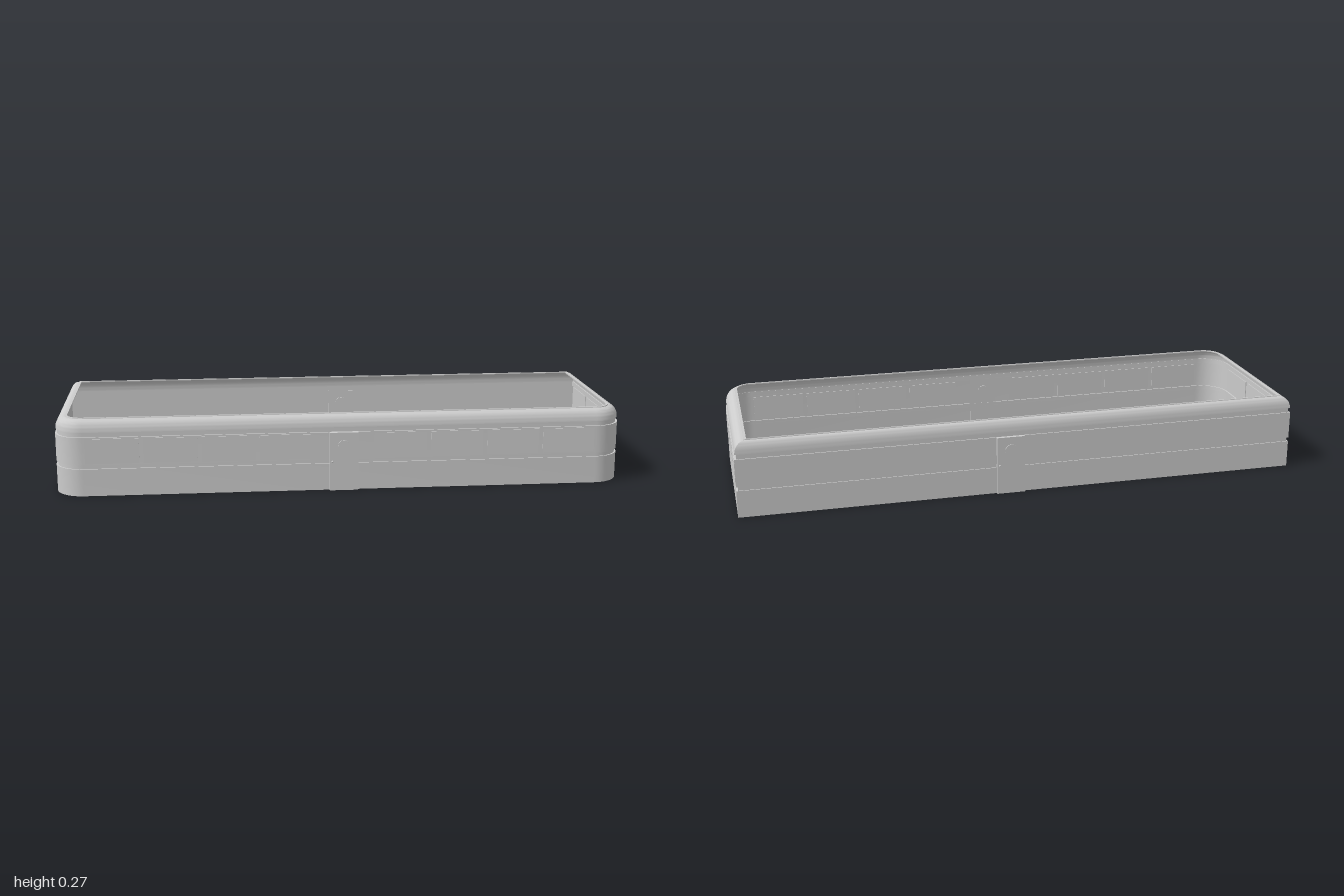
import * as THREE from 'three';
import { toCreasedNormals } from 'three/addons/utils/BufferGeometryUtils.js';

const FRONT = 0.332, BACK = -0.334, RADIUS = 0.1;

// Plan outline: round corners at the front, square corners at the back
function outline(inset) {
  const x = 1 - inset, zf = FRONT - inset * 0.85, zb = BACK + inset * 0.6;
  const r = RADIUS - inset, n = 12, pts = [[-x, zb]];
  for (let i = 0; i <= n; i++) {
    const a = (i / n) * Math.PI / 2;
    pts.push([-x + r - r * Math.cos(a), zf - r + r * Math.sin(a)]);
  }
  for (let i = 0; i <= n; i++) {
    const a = (i / n) * Math.PI / 2;
    pts.push([x - r + r * Math.sin(a), zf - r + r * Math.cos(a)]);
  }
  pts.push([x, zb]);
  return pts;
}

// Sweeps a profile of [inset, y] points round the outline
function sweep(profile) {
  const rings = profile.map(([inset]) => outline(inset));
  const n = rings[0].length, pos = [], idx = [];
  rings.forEach((ring, j) => ring.forEach(([x, z]) => pos.push(x, profile[j][1], z)));
  for (let j = 0; j < rings.length - 1; j++) {
    for (let i = 0; i < n; i++) {
      const a = j * n + i, b = j * n + (i + 1) % n;
      idx.push(a, b, a + n, b, b + n, a + n);
    }
  }
  const g = new THREE.BufferGeometry();
  g.setAttribute('position', new THREE.Float32BufferAttribute(pos, 3));
  g.setIndex(idx);
  return toCreasedNormals(g, 0.5);
}

export function createModel() {
  const model = new THREE.Group();
  model.name = 'buildingShell';
  const solid = new THREE.MeshStandardMaterial({ color: 0xcccccc });
  const sheet = new THREE.MeshStandardMaterial({ color: 0xcccccc, side: THREE.DoubleSide });

  const add = (parent, name, geometry, x = 0, y = 0, z = 0, material = solid) => {
    const mesh = new THREE.Mesh(geometry, material);
    mesh.name = name;
    mesh.position.set(x, y, z);
    parent.add(mesh);
    return mesh;
  };

  // Walls with a recessed belt and a recessed band under the cornice
  add(model, 'walls', sweep([
    [0, 0], [0, 0.096], [0.006, 0.096], [0.006, 0.11], [0, 0.11],
    [0, 0.208], [0.007, 0.208], [0.007, 0.226],
  ]), 0, 0, 0, sheet);

  // Quarter-round cornice with a small lip on top
  const cornice = [[0.007, 0.225]];
  for (let i = 0; i <= 10; i++) {
    const a = (i / 10) * Math.PI / 2;
    cornice.push([0.002 + 0.034 * (1 - Math.cos(a)), 0.225 + 0.042 * Math.sin(a)]);
  }
  cornice.push([0.037, 0.27], [0.045, 0.27], [0.045, 0.266]);
  add(model, 'cornice', sweep(cornice), 0, 0, 0, sheet);

  // Window panels on the front and both ends
  const frontPane = new THREE.BoxGeometry(0.185, 0.088, 0.005);
  const endPane = new THREE.BoxGeometry(0.004, 0.088, 0.176);
  for (const side of [-1, 1]) {
    for (let i = 0; i < 4; i++) add(model, 'frontWindow', frontPane, side * (0.2 + i * 0.2), 0.159, FRONT);
    for (let i = 0; i < 3; i++) add(model, 'endWindow', endPane, side * 0.999, 0.159, 0.142 - i * 0.191);
  }

  // Doors with a round window and a knob
  const slab = new THREE.BoxGeometry(0.1, 0.208, 0.014);
  const porthole = new THREE.CylinderGeometry(0.021, 0.021, 0.02, 32).rotateX(Math.PI / 2);
  const knob = new THREE.SphereGeometry(0.004, 12, 8);
  const addDoor = (name, x, z, turn) => {
    const door = new THREE.Group();
    door.name = name;
    door.position.set(x, 0, z);
    door.rotation.y = turn;
    add(door, 'doorPanel', slab, 0, 0.104, 0);
    add(door, 'doorWindow', porthole, 0, 0.16, 0);
    add(door, 'doorKnob', knob, -0.04, 0.104, 0.007);
    model.add(door);
  };
  addDoor('frontDoor', 0, 0.335, 0);
  addDoor('backDoor', 0.055, -0.335, Math.PI);

  return model;
}
